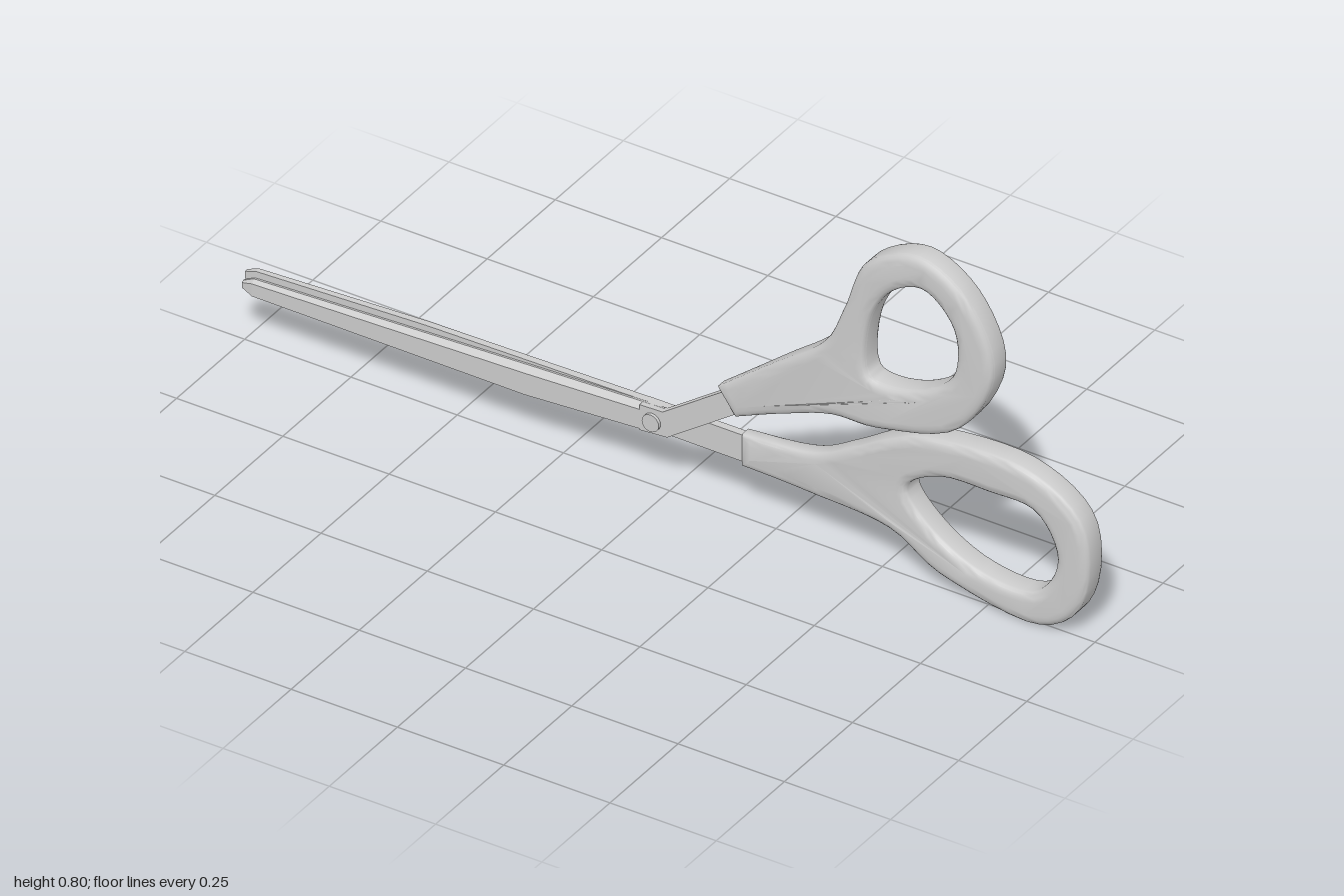
import * as THREE from 'three';
import { toCreasedNormals } from 'three/addons/utils/BufferGeometryUtils.js';

const material = new THREE.MeshStandardMaterial({ color: 0xcccccc });
const PIVOT = new THREE.Vector2(-0.03, 0.17);
const vectors = (points) => points.map(([x, y]) => new THREE.Vector2(x, y));

function addMesh(parent, name, geometry, crease = 0.6) {
  const mesh = new THREE.Mesh(toCreasedNormals(geometry, crease), material);
  mesh.name = name;
  parent.add(mesh);
}

// Rounded grip with a finger hole; it thickens from the stem towards the ring.
// side is +1 for the half lying in front, -1 for the half behind.
function handleGeometry(outline, hole, side) {
  const shape = new THREE.Shape();
  shape.moveTo(...outline[0]);
  shape.splineThru(vectors(outline.slice(1)));
  shape.closePath();
  const curve = new THREE.CatmullRomCurve3(
    hole.map(([x, y]) => new THREE.Vector3(x, y, 0)), true);
  const holePoints = curve.getPoints(44).slice(0, -1);
  shape.holes.push(new THREE.Path(vectors(holePoints.map((p) => [p.x, p.y]))));

  const geometry = new THREE.ExtrudeGeometry(shape, {
    depth: 0.038, curveSegments: 5, bevelEnabled: true,
    bevelThickness: 0.0135, bevelSize: 0.022, bevelOffset: -0.022, bevelSegments: 4,
  });
  geometry.translate(0, 0, -0.019);
  const p = geometry.attributes.position;
  for (let i = 0; i < p.count; i++) {
    const d = Math.hypot(p.getX(i) - PIVOT.x, p.getY(i) - PIVOT.y);
    const t = THREE.MathUtils.smoothstep(d, 0.2, 0.62);
    p.setZ(i, p.getZ(i) * THREE.MathUtils.lerp(0.56, 1, t) + 0.0115 * side);
  }
  return geometry;
}

// Flat steel shank between pivot and grip
function shankGeometry(points, side) {
  const geometry = new THREE.ExtrudeGeometry(new THREE.Shape(vectors(points)),
    { depth: 0.0175, bevelEnabled: false });
  return geometry.translate(0, 0, side > 0 ? 0.0005 : -0.018);
}

// Blade lofted through [x, spineY, edgeY, thickness], ground thin at the edge
function bladeGeometry(stations, side) {
  const positions = [];
  const index = [];
  for (const [x, spine, edge, thick] of stations) {
    const ridge = THREE.MathUtils.lerp(spine, edge, 0.8);
    positions.push(
      x, spine, 0.0005 * side, x, spine, thick * side,
      x, ridge, thick * side, x, edge, 0.005 * side, x, edge, 0.0005 * side);
  }
  const n = 5;
  const last = (stations.length - 1) * n;
  for (let s = 0; s < last; s += n) {
    for (let k = 0; k < n; k++) {
      const a = s + k, b = s + (k + 1) % n;
      index.push(a, a + n, b, b, a + n, b + n);
    }
  }
  for (let k = 1; k < n - 1; k++) {
    index.push(0, k, k + 1, last, last + k + 1, last + k);
  }
  const geometry = new THREE.BufferGeometry();
  geometry.setAttribute('position', new THREE.Float32BufferAttribute(positions, 3));
  geometry.setIndex(index);
  return geometry;
}

function createHalf(name, side, { outline, hole, shank, blade }) {
  const half = new THREE.Group();
  half.name = name;
  addMesh(half, 'handle', handleGeometry(outline, hole, side), 0.8);
  addMesh(half, 'shank', shankGeometry(shank, side));
  addMesh(half, 'blade', bladeGeometry(blade, side), 0.1);
  return half;
}

export function createModel() {
  const model = new THREE.Group();
  model.name = 'scissors';

  // Front half: raised grip, lower blade with its edge on top
  model.add(createHalf('frontHalf', 1, {
    outline: [[0.17, 0.257], [0.28, 0.305], [0.4, 0.35], [0.515, 0.36], [0.695, 0.42],
      [0.785, 0.58], [0.73, 0.73], [0.61, 0.802], [0.485, 0.745], [0.433, 0.62],
      [0.385, 0.52], [0.28, 0.435], [0.128, 0.315]],
    hole: [[0.49, 0.48], [0.495, 0.615], [0.545, 0.697], [0.62, 0.727],
      [0.69, 0.66], [0.69, 0.55], [0.62, 0.49], [0.53, 0.468]],
    shank: [[-0.06, 0.14], [0.005, 0.145], [0.19, 0.275], [0.16, 0.318], [-0.005, 0.202], [-0.06, 0.2]],
    blade: [[-1, 0.135, 0.15, 0.01], [-0.975, 0.125, 0.162, 0.013],
      [-0.33, 0.126, 0.19, 0.018], [-0.01, 0.146, 0.202, 0.018]],
  }));

  // Back half: level grip, upper blade with its edge below
  model.add(createHalf('backHalf', -1, {
    outline: [[0.17, 0.128], [0.33, 0.125], [0.52, 0.114], [0.65, 0.045], [0.87, 0.008],
      [0.98, 0.1], [0.98, 0.28], [0.84, 0.37], [0.625, 0.365], [0.52, 0.325],
      [0.43, 0.27], [0.33, 0.22], [0.17, 0.203]],
    hole: [[0.565, 0.225], [0.64, 0.277], [0.76, 0.284], [0.87, 0.275],
      [0.92, 0.18], [0.87, 0.088], [0.74, 0.087], [0.62, 0.15]],
    shank: [[-0.06, 0.138], [0.21, 0.137], [0.21, 0.2], [-0.06, 0.2]],
    blade: [[-1, 0.168, 0.152, 0.01], [-0.975, 0.177, 0.143, 0.013],
      [-0.575, 0.193, 0.136, 0.016], [-0.02, 0.2, 0.138, 0.018]],
  }));

  // Pivot screw running through both halves
  const screw = new THREE.CylinderGeometry(0.02, 0.02, 0.05, 24);
  screw.rotateX(Math.PI / 2).translate(PIVOT.x, PIVOT.y, 0);
  addMesh(model, 'pivotScrew', screw);
  return model;
}
